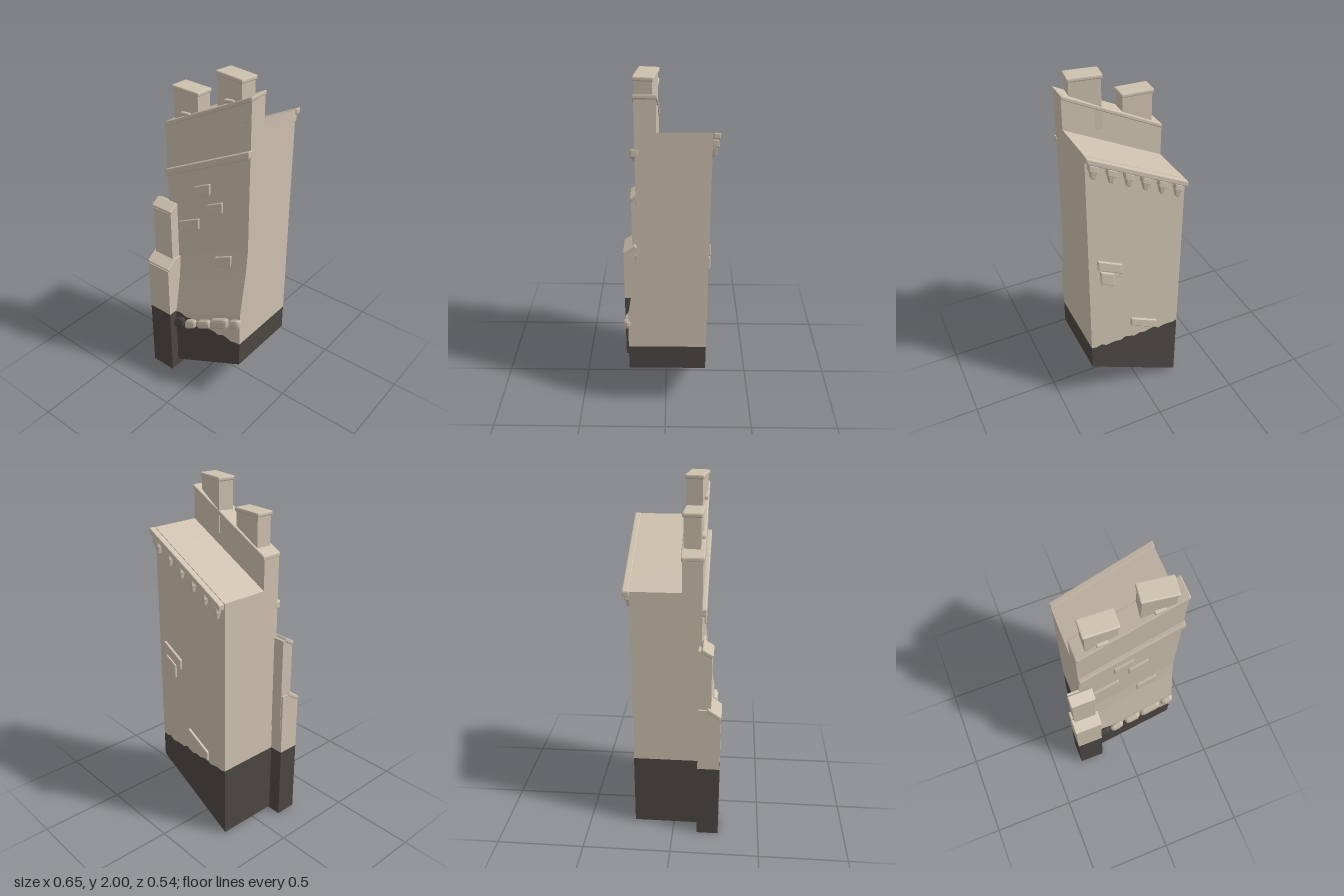
import * as THREE from 'three';
import { RoundedBoxGeometry } from 'three/addons/geometries/RoundedBoxGeometry.js';

const SLOPE = 0.5;      // the whole wall climbs along x
const DARK_LINE = 0.445; // level top of the dark base

// Solid through cross-sections: section(x, i) gives [z, y] points, front upwards, then back down.
function loft(xs, section) {
  const rows = xs.map((x, i) => section(x, i).map(([z, y]) => new THREE.Vector3(x, y, z)));
  const pos = [];
  const tri = (a, b, c) => pos.push(...a.toArray(), ...b.toArray(), ...c.toArray());
  const n = rows[0].length;
  for (let i = 0; i < rows.length - 1; i++) {
    for (let j = 0; j < n; j++) {
      const k = (j + 1) % n;
      tri(rows[i][j], rows[i + 1][j], rows[i + 1][k]);
      tri(rows[i][j], rows[i + 1][k], rows[i][k]);
    }
  }
  // end caps
  [[rows[0], -1], [rows[rows.length - 1], 1]].forEach(([row, side]) => {
    const flat = row.map((p) => new THREE.Vector2(p.z, p.y));
    for (const [a, b, c] of THREE.ShapeUtils.triangulateShape(flat, [])) {
      const area = THREE.ShapeUtils.area([flat[a], flat[b], flat[c]]);
      if (area * side < 0) tri(row[a], row[b], row[c]);
      else tri(row[a], row[c], row[b]);
    }
  });
  const g = new THREE.BufferGeometry();
  g.setAttribute('position', new THREE.Float32BufferAttribute(pos, 3));
  g.computeVertexNormals();
  return g;
}

// Chamfered block, sheared so that it follows the slope
function block(w, h, d, bevel, shear = SLOPE, taper = 1) {
  const g = new RoundedBoxGeometry(w, h, d, 1, bevel);
  const p = g.attributes.position;
  for (let i = 0; i < p.count; i++) {
    const t = taper + (1 - taper) * (p.getY(i) / h + 0.5);
    const x = p.getX(i) * t;
    p.setXYZ(i, x, p.getY(i) + shear * x, p.getZ(i) * t);
  }
  g.computeVertexNormals();
  return g;
}

export function createModel() {
  const stone = new THREE.MeshStandardMaterial({ color: 0xcdc0ae });
  stone.name = 'pale stone';
  const dark = new THREE.MeshStandardMaterial({ color: 0x4b4642 });
  dark.name = 'dark base stone';

  const model = new THREE.Group();
  model.name = 'slopingWall';
  const add = (name, geometry, material, x = 0, y = 0, z = 0) => {
    const mesh = new THREE.Mesh(geometry, material);
    mesh.name = name;
    mesh.position.set(x, y, z);
    model.add(mesh);
    return mesh;
  };
  // y measured from the slope line
  const addSloped = (name, geometry, material, x, yo, z) =>
    add(name, geometry, material, x, yo + SLOPE * x, z);

  // wall body, split along a slightly ragged line
  const xs = Array.from({ length: 19 }, (_, i) => -0.24 + (0.56 * i) / 18);
  const ragged = (i, seed) => (i === 0 || i === 18 ? DARK_LINE
    : DARK_LINE - 0.006 + 0.008 * Math.sin(i * 2.3 + seed) + 0.005 * Math.sin(i * 5.1 + seed));
  add('wallBase', loft(xs, (x, i) => [
    [0.21, 0.13 + SLOPE * x], [0.21, ragged(i, 0)],
    [-0.23, ragged(i, 2)], [-0.23, 0.13 + SLOPE * x],
  ]), dark);
  const profile = [[0.21, 0.5], [0.19, 0.62], [0.165, 0.77], [0.152, 0.9], [0.152, 1.755],
    [0.045, 1.755], [0.045, 1.58], [-0.23, 1.58]];
  add('wallBody', loft(xs, (x, i) => [
    [0.21, ragged(i, 0)],
    ...profile.map(([z, yo]) => [z, Math.max(yo + SLOPE * x, ragged(i, 0) + 0.002)]),
    [-0.23, ragged(i, 2)],
  ]), stone);

  // mouldings along the wall
  addSloped('parapetCoping', block(0.565, 0.025, 0.122, 0.006), stone, 0.0415, 1.757, 0.099);
  addSloped('stringCourse', block(0.565, 0.042, 0.04, 0.006), stone, 0.0415, 1.472, 0.155);
  addSloped('rearCornice', block(0.565, 0.034, 0.036, 0.006), stone, 0.0415, 1.565, -0.25);

  // corbels under the rear cornice
  for (let i = 0; i < 6; i++) {
    const x = 0.285 - i * 0.095;
    addSloped('corbelBlock', block(0.048, 0.042, 0.036, 0.006), stone, x, 1.528, -0.245);
    addSloped('corbelFoot', block(0.038, 0.045, 0.034, 0.006, SLOPE, 0.55), stone, x, 1.488, -0.24);
  }

  // stepped corner pier
  const pier = [-0.32, -0.165];
  add('pierBase', loft(pier, () => [
    [0.265, 0], [0.265, DARK_LINE], [0.14, DARK_LINE], [0.14, 0]]), dark);
  add('pierLower', loft(pier, () => [
    [0.265, DARK_LINE], [0.265, 0.765], [0.185, 0.82], [0.14, 0.82], [0.14, DARK_LINE]]), stone);
  add('pierUpper', loft([-0.308, -0.177], () => [
    [0.21, 0.6], [0.21, 1.125], [0.155, 1.165], [0.137, 1.165], [0.137, 0.6]]), stone);
  add('pierLowerCap', block(0.165, 0.024, 0.092, 0.006, 0), stone, -0.2425, 0.798, 0.226)
    .rotation.x = 0.6;
  add('pierUpperCap', block(0.143, 0.024, 0.07, 0.006, 0), stone, -0.2425, 1.152, 0.184)
    .rotation.x = 0.55;

  // chimneys: x, z, top, turn
  for (const [x, z, top, turn] of [[-0.1, 0.096, 1.863, -0.04], [0.184, 0.096, 2, -0.14]]) {
    const chimney = new THREE.Group();
    chimney.name = 'chimney';
    chimney.position.set(x, top, z);
    chimney.rotation.y = turn;
    const stack = new THREE.Mesh(new THREE.BoxGeometry(0.166, 0.29, 0.09), stone);
    stack.name = 'chimneyStack';
    stack.position.y = -0.155;
    const cap = new THREE.Mesh(block(0.184, 0.024, 0.106, 0.007, 0), stone);
    cap.name = 'chimneyCap';
    cap.position.y = -0.012;
    chimney.add(stack, cap);
    model.add(chimney);
    addSloped('copingChip', block(0.06, 0.02, 0.02, 0.005, 0.1), stone, x, 1.778, 0.147);
  }

  // raised bricks on both faces: x, y, z, width, height
  const bricks = [
    [0.012, 1.322, 0.152, 0.108, 0.068], [0.097, 1.24, 0.152, 0.108, 0.068],
    [-0.09, 1.065, 0.152, 0.15, 0.07], [0.157, 0.924, 0.155, 0.115, 0.072],
    [0.198, 1.02, -0.23, 0.145, 0.065], [0.215, 0.945, -0.23, 0.08, 0.085],
    [-0.015, 0.52, -0.23, 0.17, 0.06],
  ];
  for (const [x, y, z, w, h] of bricks) {
    add('raisedBrick', block(w, h, 0.026, 0.006), stone, x, y, z);
  }

  // rough stones along the base: x, y, width, height, material
  const rubble = [
    [-0.132, 0.375, 0.075, 0.075, dark], [-0.043, 0.408, 0.083, 0.065, stone],
    [0.062, 0.463, 0.095, 0.062, stone], [0.178, 0.53, 0.125, 0.075, stone],
    [0.288, 0.583, 0.073, 0.065, stone],
  ];
  for (const [x, y, w, h, material] of rubble) {
    add('baseRubble', block(w, h, 0.05, 0.02), material, x, y, 0.212);
  }

  return model;
}
